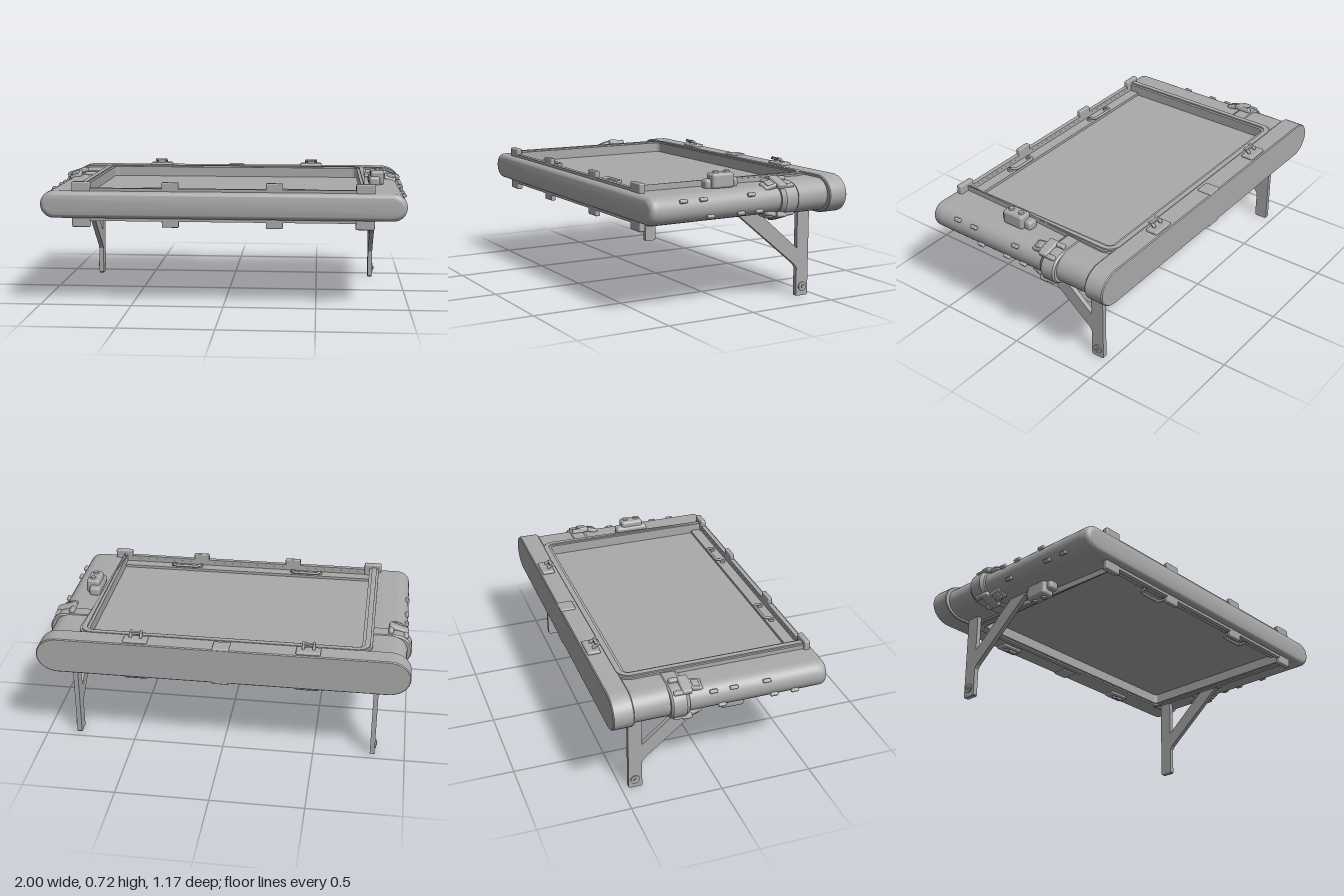
import * as THREE from 'three';
import { toCreasedNormals } from 'three/addons/utils/BufferGeometryUtils.js';
import { RoundedBoxGeometry } from 'three/addons/geometries/RoundedBoxGeometry.js';

const MID = 0.56; // height of the plane the case mirrors about
const grey = new THREE.MeshStandardMaterial({ color: 0xaaaaaa });
grey.name = 'grey';

function add(parent, name, geometry, x = 0, y = 0, z = 0) {
  const mesh = new THREE.Mesh(geometry, grey);
  mesh.name = name;
  mesh.position.set(x, y, z);
  parent.add(mesh);
  return mesh;
}
const box = (w, h, d) => new THREE.BoxGeometry(w, h, d);
const soft = (w, h, d, r) => new RoundedBoxGeometry(w, h, d, 3, r);

// Outline with rounded right end; left end rounded too, or cut straight at x = cut
function outline(w, h, rx, inset, cut) {
  const pts = [], n = 16;
  for (let i = 0; i <= n; i++) {
    const a = -Math.PI / 2 + Math.PI * i / n;
    pts.push([w - rx + Math.cos(a) * (rx - inset), Math.sin(a) * (h - inset)]);
  }
  if (cut !== undefined) pts.push([cut, h - inset], [cut, inset - h]);
  else for (let i = 0; i <= n; i++) pts.push([-pts[i][0], -pts[i][1]]);
  return pts;
}

// Closed solid through outlines, front to back; each section is [z, inset]
function loft(w, h, rx, sections, cut) {
  const pos = [];
  const rings = sections.map(([z, inset]) => outline(w, h, rx, inset, cut).map(([x, y]) => [x, y, z]));
  const n = rings[0].length, last = rings.length - 1;
  const cx = cut === undefined ? 0 : (w + cut) / 2;
  for (let i = 0; i < n; i++) {
    const j = (i + 1) % n;
    for (let k = 0; k < last; k++) {
      const a = rings[k], b = rings[k + 1];
      pos.push(...a[i], ...b[i], ...b[j], ...a[i], ...b[j], ...a[j]);
    }
    pos.push(cx, 0, sections[0][0], ...rings[0][i], ...rings[0][j]);
    pos.push(cx, 0, sections[last][0], ...rings[last][j], ...rings[last][i]);
  }
  const g = new THREE.BufferGeometry();
  g.setAttribute('position', new THREE.Float32BufferAttribute(pos, 3));
  return toCreasedNormals(g, 0.6);
}

// U-shaped frame lying flat, open toward the front
function uFrame(w, back, w2, back2, r, height) {
  const front = -0.54, r2 = Math.max(r - (w - w2), 0.02), H = Math.PI / 2;
  const s = new THREE.Shape();
  s.moveTo(w, front);
  s.absarc(w - r, back - r, r, 0, H, false);
  s.absarc(r - w, back - r, r, H, Math.PI, false);
  s.lineTo(-w, front);
  s.lineTo(-w2, front);
  s.absarc(r2 - w2, back2 - r2, r2, Math.PI, H, true);
  s.absarc(w2 - r2, back2 - r2, r2, H, 0, true);
  s.lineTo(w2, front);
  s.closePath();
  const g = new THREE.ExtrudeGeometry(s, { depth: height, bevelEnabled: false, curveSegments: 8 });
  return toCreasedNormals(g.rotateX(-H), 0.6);
}

function tube(points, radius) {
  const path = new THREE.CatmullRomCurve3(points.map(p => new THREE.Vector3(...p)), false, 'catmullrom', 0.2);
  return new THREE.TubeGeometry(path, 24, radius, 8);
}

// Everything on one face of the case, plus its +x side
function createHalf() {
  const half = new THREE.Group();

  // Rounded side, sleeve and collar
  add(half, 'sideBody', loft(0.975, 0.073, 0.073, [[0.53, 0], [-0.3, 0]], 0.75));
  add(half, 'sleeve', loft(0.975, 0.086, 0.086, [[-0.27, 0], [-0.5, 0]], 0.75));
  add(half, 'collar', loft(1.0, 0.09, 0.09, [[-0.18, 0.014], [-0.2, 0], [-0.27, 0], [-0.28, 0.008]], 0.75));

  // Recessed panel and the frame round it
  add(half, 'panel', box(1.5, 0.04, 1.0), 0, 0.02, 0.03);
  add(half, 'frame', uFrame(0.79, 0.495, 0.735, 0.44, 0.08, 0.096));
  add(half, 'frameLip', uFrame(0.778, 0.483, 0.75, 0.455, 0.068, 0.104));
  add(half, 'frontStep', box(1.48, 0.055, 0.07), 0, 0.0275, 0.5);
  add(half, 'frontRail', box(1.58, 0.088, 0.025), 0, 0.044, 0.538);
  for (const s of [-1, 1]) {
    add(half, 'frameEnd', soft(0.1, 0.1, 0.032, 0.008), s * 0.755, 0.072, 0.538);
    add(half, 'railBlock', soft(0.09, 0.07, 0.026, 0.006), s * 0.277, 0.086, 0.538);
  }

  for (const s of [-1, 1]) {
    // Pull handle
    const x = s * 0.36, a = 0.08, b = 0.066;
    add(half, 'handle', tube([[x - a, 0.05, 0.495], [x - a, 0.072, 0.49], [x - b, 0.075, 0.457],
      [x + b, 0.075, 0.457], [x + a, 0.072, 0.49], [x + a, 0.05, 0.495]], 0.008));
    for (const e of [-a, a]) {
      add(half, 'handleFoot', new THREE.CylinderGeometry(0.015, 0.015, 0.016, 12), x + e, 0.06, 0.495);
    }

    // Hook clasp on the back cap
    add(half, 'claspPlate', soft(0.13, 0.02, 0.07, 0.009), s * 0.46, 0.105, -0.538);
    for (const e of [-0.028, 0.028]) {
      add(half, 'claspHook', tube([[s * 0.46 + e, 0.105, -0.515], [s * 0.46 + e, 0.118, -0.535],
        [s * 0.46 + e, 0.128, -0.522], [s * 0.46 + e, 0.138, -0.498]], 0.008));
    }
    add(half, 'claspBar', box(0.07, 0.012, 0.016), s * 0.46, 0.132, -0.512);

    // Side latch over the collar
    const latch = new THREE.Group();
    latch.name = 'sideLatch';
    latch.position.set(s * 0.92, 0.08, 0);
    latch.rotation.z = -s * 0.32;
    add(latch, 'latchBar', soft(0.11, 0.03, 0.055, 0.01), 0, 0.008, -0.19);
    for (const e of [-0.042, 0.042]) add(latch, 'latchProng', soft(0.026, 0.026, 0.08, 0.008), e, 0.004, -0.222);
    add(latch, 'latchTongue', soft(0.068, 0.026, 0.1, 0.01), 0, -0.002, -0.148).rotation.x = 0.28;
    add(latch, 'latchTip', soft(0.045, 0.014, 0.04, 0.006), 0, 0.008, -0.135).rotation.x = 0.28;
    half.add(latch);
  }

  // Centre tab on the back cap
  add(half, 'centreTab', soft(0.09, 0.016, 0.085, 0.007), 0, 0.1, -0.543);

  // Control box with two buttons
  add(half, 'controlBase', soft(0.062, 0.055, 0.195, 0.018), 0.816, 0.092, 0.095);
  add(half, 'controlBox', soft(0.076, 0.08, 0.13, 0.016), 0.832, 0.11, 0.1);
  for (const z of [0.065, 0.132]) {
    add(half, 'button', new THREE.CylinderGeometry(0.014, 0.017, 0.012, 14), 0.834, 0.153, z);
  }

  // Small studs along the rounded sides
  for (const [s, zs] of [[1, [0.4, 0.285, 0]], [-1, [0.24, 0.06, -0.05]]]) {
    for (const z of zs) {
      add(half, 'stud', soft(0.03, 0.02, 0.042, 0.006), s * 0.962, 0.043, z).rotation.z = s * 0.5;
    }
  }
  return half;
}

// Upright with a diagonal brace, cut as one plate
function legGeometry() {
  const s = new THREE.Shape();
  const pts = [[0.4625, 0.006], [0.4625, 0.49], [0.3875, 0.49], [0.3875, 0.264], [0.122, 0.49],
    [-0.01, 0.49], [-0.01, 0.475], [0.012, 0.475], [0.375, 0.175], [0.3875, 0.155], [0.3875, 0.006],
    [0.393, 0], [0.457, 0]];
  s.setFromPoints(pts.map(p => new THREE.Vector2(...p)));
  const g = new THREE.ExtrudeGeometry(s, { depth: 0.026, bevelEnabled: false });
  return g.translate(0, 0, -0.013).rotateY(Math.PI / 2);
}

export function createModel() {
  const model = new THREE.Group();
  model.name = 'foldingCase';

  // Front bar with rounded edge, and back cap
  const front = [];
  for (let i = 0; i <= 6; i++) {
    const a = Math.PI / 2 * i / 6;
    front.push([0.55 + 0.032 * Math.cos(a), 0.032 * (1 - Math.sin(a))]);
  }
  front.push([0.525, 0]);
  add(model, 'frontBar', loft(0.975, 0.073, 0.073, front), 0, MID, 0);
  add(model, 'backCap', loft(1.0, 0.1, 0.115, [[-0.475, 0.004], [-0.48, 0], [-0.58, 0], [-0.585, 0.005]]), 0, MID, 0);

  // The two faces are the same part turned half a turn
  for (const turn of [0, Math.PI]) {
    const half = createHalf();
    half.name = turn ? 'lowerHalf' : 'upperHalf';
    half.position.y = MID;
    half.rotation.z = turn;
    model.add(half);
  }

  // Legs with a screw at each foot
  const leg = legGeometry();
  for (const s of [-1, 1]) {
    add(model, 'leg', leg, s * 0.824, 0, 0);
    add(model, 'screw', new THREE.CylinderGeometry(0.025, 0.025, 0.008, 20), s * 0.839, 0.05, -0.427).rotation.z = Math.PI / 2;
    add(model, 'screwHead', new THREE.CylinderGeometry(0.01, 0.01, 0.006, 6), s * 0.845, 0.05, -0.427).rotation.z = Math.PI / 2;
  }
  return model;
}
